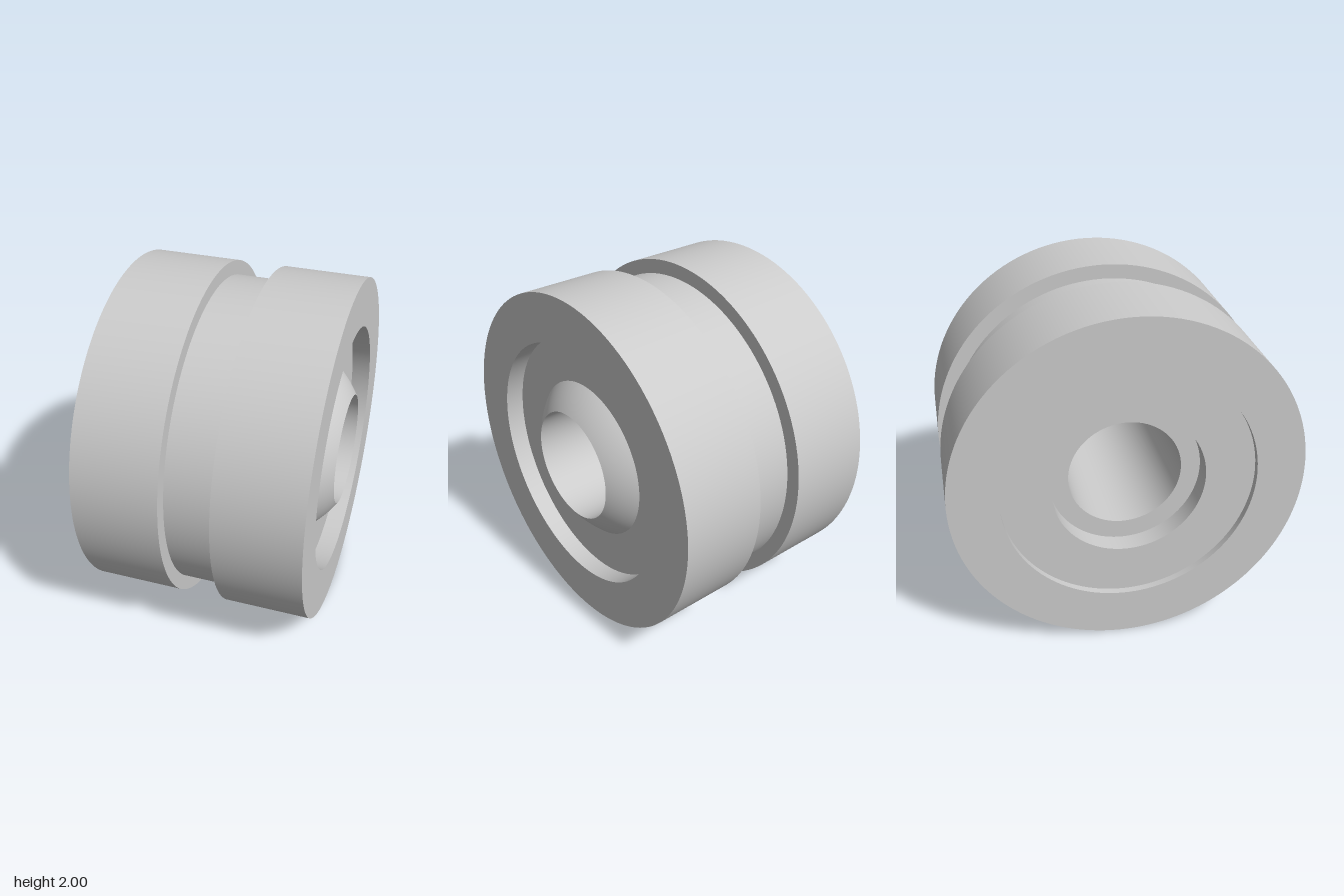
import * as THREE from 'three';
import { toCreasedNormals } from 'three/addons/utils/BufferGeometryUtils.js';

const SEGMENTS = 128;
const material = new THREE.MeshStandardMaterial({ color: 0xcccccc });

// Revolve a profile of [x, radius] pairs around the x axis
function revolve(name, profile) {
  const points = profile.map(([x, r]) => new THREE.Vector2(r, x));
  const lathe = new THREE.LatheGeometry(points, SEGMENTS);
  lathe.rotateZ(-Math.PI / 2);
  const mesh = new THREE.Mesh(toCreasedNormals(lathe, Math.PI / 6), material);
  mesh.name = name;
  return mesh;
}

export function createModel() {
  const group = new THREE.Group();
  group.name = 'bushing';

  const leftFace = 0.63, rightFace = -0.643;
  const leftFloor = 0.52, rightFloor = -0.603;
  const recessR = 0.72, boreR = 0.323, seatR = 0.466, counterR = 0.434;
  const seatX = -0.485, collarEnd = 0.64;

  // Outer ring: two rims with a groove between, and a recess in each end
  group.add(revolve('outerRing', [
    [seatX, counterR],
    [rightFloor, counterR],
    [rightFloor, recessR],
    [rightFace, recessR],
    [rightFace, 1],
    [-0.147, 1],
    [-0.147, 0.917],
    [0.136, 0.917],
    [0.136, 1],
    [leftFace, 1],
    [leftFace, recessR],
    [leftFloor, recessR],
    [leftFloor, seatR],
  ]));

  // Inner sleeve: spherical collar, through bore and flat ledge.
  // The sphere centre lies on the axis, equally far from both collar edges.
  const cx = (collarEnd ** 2 + boreR ** 2 - leftFloor ** 2 - seatR ** 2) /
    (2 * (collarEnd - leftFloor));
  const radius = Math.hypot(collarEnd - cx, boreR);
  const a0 = Math.atan2(seatR, leftFloor - cx);
  const a1 = Math.atan2(boreR, collarEnd - cx);
  const sleeve = [];
  for (let i = 0; i <= 12; i++) {
    const a = a0 + (a1 - a0) * i / 12;
    sleeve.push([cx + radius * Math.cos(a), radius * Math.sin(a)]);
  }
  sleeve.push([seatX, boreR], [seatX, counterR]);
  group.add(revolve('innerSleeve', sleeve));

  // Stand on the ground
  group.position.y = 1;
  const root = new THREE.Group();
  root.name = 'groovedBushing';
  root.add(group);
  return root;
}
